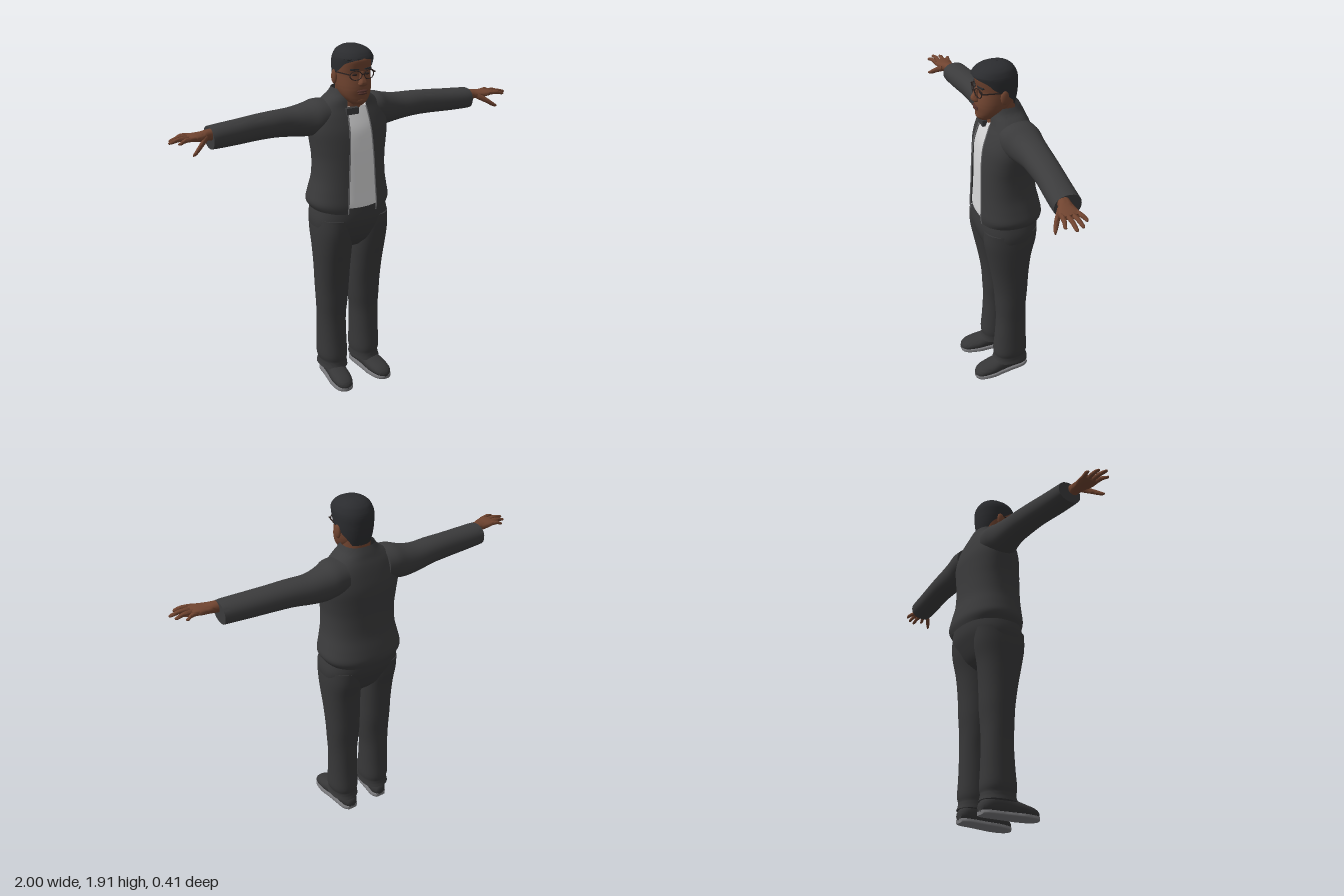
import * as THREE from 'three';
import { toCreasedNormals } from 'three/addons/utils/BufferGeometryUtils.js';

const mat = (name, color, side = THREE.FrontSide) => {
  const m = new THREE.MeshStandardMaterial({ color, side });
  m.name = name;
  return m;
};

// Catmull-Rom interpolation of every number in a list of rows
function refine(rows, steps) {
  const out = [], at = i => rows[Math.max(0, Math.min(rows.length - 1, i))];
  for (let i = 0; i < rows.length - 1; i++) {
    for (let s = 0; s < steps; s++) {
      const t = s / steps;
      out.push(rows[i].map((b, k) => {
        const a = at(i - 1)[k], c = at(i + 1)[k], d = at(i + 2)[k];
        return b + 0.5 * t * (c - a + t * (2 * a - 5 * b + 4 * c - d + t * (3 * (b - c) + d - a)));
      }));
    }
  }
  out.push(rows[rows.length - 1]);
  return out;
}

const power = (v, n) => Math.sign(v) * Math.abs(v) ** (2 / n);

// Skin over superellipse rings: row = [t, centreA, centreB, radiusA, radiusB, openAngle]
function loft(rows, { axis = 'y', n = 2.2, steps = 4, segs = 32, caps = true, side = 1 } = {}) {
  const rings = refine(rows, steps);
  if (caps) {
    const shut = r => [r[0], r[1], r[2], 0, 0, 0];
    rings.unshift(shut(rings[0]));
    rings.push(shut(rings[rings.length - 1]));
  }
  const pos = [], idx = [];
  for (const [t, ca, cb, ra, rb, g = 0] of rings) {
    const gap = Math.max(0, g);
    for (let j = 0; j <= segs; j++) {
      const phi = gap + (j / segs) * 2 * (Math.PI - gap);
      const a = ca + ra * power(Math.sin(phi), n), b = cb + rb * power(Math.cos(phi), n);
      const p = axis === 'y' ? [a, t, b] : axis === 'x' ? [t, b, a] : [b, a, t];
      pos.push(p[0] * side, p[1], p[2]);
    }
  }
  const w = segs + 1;
  for (let i = 0; i < rings.length - 1; i++) {
    for (let j = 0; j < segs; j++) {
      const a = i * w + j, b = a + 1, c = b + w, d = a + w;
      if (side > 0) idx.push(a, b, c, a, c, d);
      else idx.push(a, c, b, a, d, c);
    }
  }
  const geo = new THREE.BufferGeometry();
  geo.setAttribute('position', new THREE.Float32BufferAttribute(pos, 3));
  geo.setIndex(idx);
  return toCreasedNormals(geo, 1.0);
}

// [y, front z, back z, half width, centre x, openAngle] -> loft row
const body = ([y, zf, zb, rx, cx = 0, gap = 0]) => [y, cx, (zf + zb) / 2, rx, (zf - zb) / 2, gap];

export function createModel() {
  const model = new THREE.Group();
  model.name = 'standingMan';
  const jacketMat = mat('jacketCharcoal', 0x3b3b3c, THREE.DoubleSide);
  const trouserMat = mat('trouserCharcoal', 0x383839);
  const skin = mat('skinBrown', 0x704430);
  const hairMat = mat('hairBlack', 0x2b2c2f, THREE.DoubleSide);
  const white = mat('shirtWhite', 0xd6d6d7);
  const shoeMat = mat('shoeDark', 0x363637);
  const soleMat = mat('soleGrey', 0x77777a);
  const lipMat = mat('lipBrown', 0x52302a);
  const zipMat = mat('zipGrey', 0x6c6c6e);
  const frameMat = mat('frameBrown', 0x2c2220);

  const add = (name, geo, m, x = 0, y = 0, z = 0) => {
    const mesh = new THREE.Mesh(geo, m);
    mesh.name = name;
    mesh.position.set(x, y, z);
    model.add(mesh);
    return mesh;
  };
  const blob = (name, m, x, y, z, sx, sy, sz) =>
    add(name, new THREE.SphereGeometry(1, 20, 14), m, x, y, z).scale.set(sx, sy, sz);

  // Jacket: y, front z, back z, half width, half opening at the front
  const N = 2.4;
  const torso = [
    [1.04, 0.145, -0.195, 0.205, 0.085], [1.08, 0.148, -0.205, 0.227, 0.085],
    [1.14, 0.145, -0.194, 0.216, 0.082], [1.22, 0.142, -0.175, 0.2, 0.078],
    [1.32, 0.138, -0.168, 0.198, 0.073], [1.4, 0.132, -0.167, 0.209, 0.068],
    [1.48, 0.12, -0.165, 0.22, 0.064], [1.55, 0.097, -0.15, 0.21, 0.06],
    [1.6, 0.078, -0.135, 0.178, 0.055], [1.635, 0.072, -0.12, 0.138, 0.05],
    [1.66, 0.068, -0.11, 0.104, 0.05], [1.69, 0.06, -0.095, 0.086, 0.055],
  ];
  const jacketRows = torso.map(([y, zf, zb, rx, g]) =>
    body([y, zf, zb, rx, 0, Math.asin((g / rx) ** (N / 2))]));
  add('jacket', loft(jacketRows, { n: N, segs: 48, caps: false }), jacketMat);
  add('shirt', loft(torso.slice(0, 9).map(([y, zf, zb, rx]) =>
    body([y, zf - 0.012, zb + 0.03, rx - 0.02])), { n: N, segs: 40 }), white);
  add('collarFlap', new THREE.BoxGeometry(0.07, 0.034, 0.03), jacketMat, -0.034, 1.583, 0.08);

  for (const s of [1, -1]) {
    // Zip along the jacket opening
    const edge = jacketRows.slice(0, 9).map(([y, , cz, rx, rz, g]) => new THREE.Vector3(
      s * rx * power(Math.sin(g), N), y, cz + rz * power(Math.cos(g), N)));
    add('zip', new THREE.TubeGeometry(new THREE.CatmullRomCurve3(edge), 40, 0.004, 6), zipMat);

    // Sleeve
    add('sleeve', loft([
      [0.12, -0.04, 1.552, 0.105, 0.082], [0.18, -0.045, 1.545, 0.105, 0.09],
      [0.24, -0.055, 1.533, 0.09, 0.085], [0.32, -0.06, 1.53, 0.078, 0.074],
      [0.42, -0.052, 1.535, 0.074, 0.067], [0.52, -0.045, 1.534, 0.07, 0.064],
      [0.64, -0.032, 1.53, 0.07, 0.061], [0.74, -0.022, 1.528, 0.07, 0.058],
      [0.775, -0.02, 1.527, 0.068, 0.056],
    ], { axis: 'x', side: s }), jacketMat);

    // Hand with four fingers and a thumb
    add('palm', loft([
      [0.74, 0, 1.548, 0.032, 0.03], [0.79, 0.005, 1.55, 0.031, 0.027],
      [0.83, 0.015, 1.55, 0.042, 0.022], [0.87, 0.02, 1.553, 0.05, 0.018],
      [0.9, 0.022, 1.555, 0.047, 0.012],
    ], { axis: 'x', segs: 20, side: s }), skin);
    for (const [z0, z1, tip] of [[0.058, 0.077, 0.965], [0.035, 0.04, 1], [0.01, 0.004, 0.985], [-0.014, -0.032, 0.945]]) {
      const mid = (0.88 + tip) / 2;
      add('finger', loft([
        [0.87, z0, 1.555, 0.012, 0.012], [mid, (z0 + z1) / 2, 1.558, 0.011, 0.011],
        [tip - 0.012, z1, 1.55, 0.009, 0.008], [tip, z1, 1.548, 0.004, 0.004],
      ], { axis: 'x', n: 2, segs: 10, side: s }), skin);
    }
    add('thumb', loft([
      [0.81, 0.035, 1.545, 0.016, 0.018], [0.85, 0.066, 1.522, 0.014, 0.016],
      [0.885, 0.088, 1.498, 0.011, 0.012], [0.905, 0.098, 1.489, 0.004, 0.005],
    ], { axis: 'x', n: 2, segs: 12, side: s }), skin);

    // Trouser leg
    add('trouserLeg', loft([
      [0.075, 0.085, -0.122, 0.08, 0.106], [0.11, 0.075, -0.112, 0.076, 0.104],
      [0.15, 0.078, -0.118, 0.082, 0.106], [0.25, 0.068, -0.112, 0.08, 0.106],
      [0.38, 0.06, -0.108, 0.08, 0.106], [0.48, 0.064, -0.108, 0.088, 0.103],
      [0.58, 0.07, -0.115, 0.094, 0.102], [0.7, 0.088, -0.12, 0.098, 0.104],
      [0.82, 0.112, -0.132, 0.104, 0.107], [0.92, 0.13, -0.155, 0.106, 0.11],
      [1.0, 0.132, -0.162, 0.104, 0.11],
    ].map(body), { side: s }), trouserMat);

    // Shoe and its sole, toes turned slightly outwards
    const shoe = [
      [-0.122, 0.04, 0.1, 0.024, 0.026], [-0.09, 0.05, 0.102, 0.045, 0.046],
      [-0.02, 0.06, 0.108, 0.055, 0.05], [0.05, 0.051, 0.115, 0.046, 0.054],
      [0.1, 0.044, 0.12, 0.038, 0.058], [0.16, 0.037, 0.125, 0.03, 0.05],
      [0.19, 0.031, 0.127, 0.021, 0.035], [0.203, 0.026, 0.128, 0.01, 0.014],
    ];
    add('shoe', loft(shoe, { axis: 'z', segs: 24, side: s }), shoeMat);
    add('sole', loft(shoe.map(([z, , x, , r]) => [z, 0.011, x, 0.011, r + 0.003]),
      { axis: 'z', n: 6, segs: 24, side: s }), soleMat);

    // Ear, eye, brow and spectacles on each side
    blob('ear', skin, s * 0.097, 1.755, 0.012, 0.012, 0.037, 0.022);
    blob('eye', frameMat, s * 0.036, 1.775, 0.114, 0.014, 0.006, 0.008);
    add('brow', new THREE.BoxGeometry(0.045, 0.008, 0.012), hairMat, s * 0.038, 1.802, 0.116).rotation.y = s * 0.25;
    const rim = add('spectacleRim', new THREE.TorusGeometry(0.032, 0.003, 6, 28), frameMat, s * 0.038, 1.774, 0.13);
    rim.scale.y = 0.72;
    rim.rotation.y = s * 0.2;
    add('spectacleArm', new THREE.BoxGeometry(0.004, 0.006, 0.115), frameMat, s * 0.088, 1.782, 0.07).rotation.y = -s * 0.2;
  }
  add('spectacleBridge', new THREE.BoxGeometry(0.016, 0.005, 0.005), frameMat, 0, 1.779, 0.136);

  // Seat of the trousers
  add('trouserSeat', loft([
    [0.82, 0.06, -0.08, 0.15], [0.87, 0.105, -0.125, 0.195], [0.94, 0.133, -0.158, 0.214],
    [1.0, 0.142, -0.178, 0.217], [1.07, 0.135, -0.18, 0.2],
  ].map(body), { n: 2.5, segs: 40 }), trouserMat);

  // Neck and head
  add('neck', loft([
    [1.54, 0.07, -0.085, 0.085], [1.6, 0.07, -0.08, 0.076], [1.65, 0.07, -0.075, 0.072], [1.72, 0.07, -0.07, 0.074],
  ].map(body)), skin);
  add('head', loft([
    [1.618, 0.112, 0.055, 0.03], [1.635, 0.126, 0.02, 0.052], [1.665, 0.129, -0.02, 0.075],
    [1.7, 0.132, -0.055, 0.087], [1.74, 0.126, -0.07, 0.091], [1.775, 0.119, -0.076, 0.092],
    [1.81, 0.126, -0.077, 0.092], [1.85, 0.13, -0.072, 0.088], [1.88, 0.1, -0.05, 0.07],
  ].map(body)), skin);
  add('nose', loft([
    [1.717, 0, 0.126, 0.016, 0.014], [1.728, 0, 0.131, 0.025, 0.022], [1.742, 0, 0.132, 0.02, 0.022],
    [1.765, 0, 0.124, 0.012, 0.018], [1.79, 0, 0.118, 0.01, 0.012],
  ], { segs: 16 }), skin);
  blob('upperLip', lipMat, 0, 1.692, 0.129, 0.031, 0.007, 0.014);
  blob('lowerLip', lipMat, 0, 1.68, 0.128, 0.027, 0.008, 0.014);
  blob('chin', skin, 0, 1.642, 0.108, 0.035, 0.022, 0.022);

  // Cropped hair, open around the face and ears
  add('hair', loft([
    [1.69, 0.11, -0.072, 0.08, 0, 2.45], [1.73, 0.13, -0.081, 0.092, 0, 2.15],
    [1.77, 0.132, -0.086, 0.097, 0, 1.65], [1.8, 0.135, -0.087, 0.099, 0, 1.25],
    [1.83, 0.14, -0.087, 0.1, 0, 0.95], [1.848, 0.145, -0.084, 0.099, 0, 0.5],
    [1.86, 0.146, -0.08, 0.096, 0, 0], [1.885, 0.125, -0.066, 0.083, 0, 0],
    [1.903, 0.09, -0.042, 0.058, 0, 0], [1.913, 0.045, -0.012, 0.025, 0, 0], [1.914, 0.018, 0.014, 0.002, 0, 0],
  ].map(body), { segs: 40, caps: false }), hairMat);

  return model;
}
